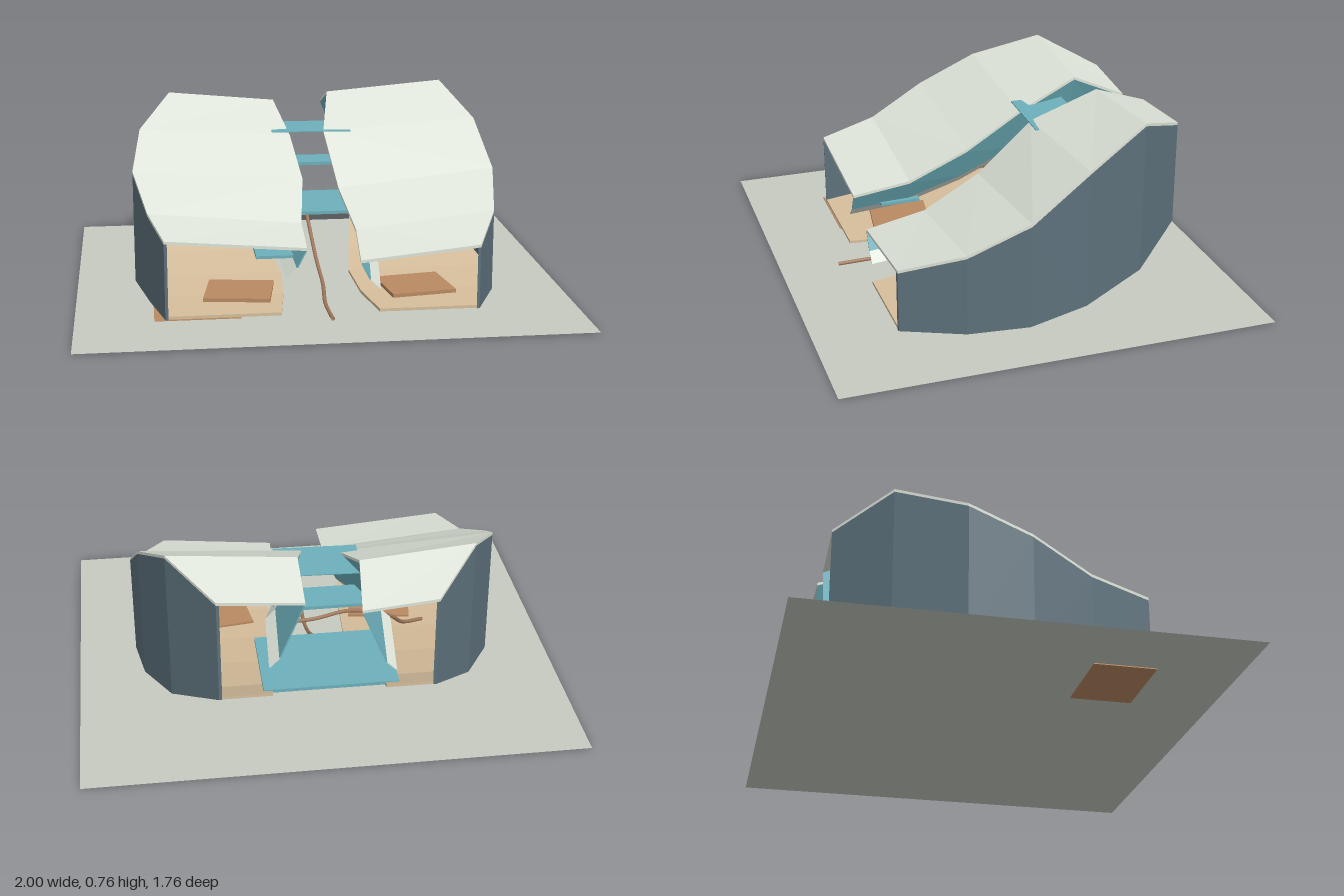
import * as THREE from 'three';

const mat = (name, color) => {
  const m = new THREE.MeshStandardMaterial({ color, side: THREE.DoubleSide });
  m.name = name;
  return m;
};

export function createModel() {
  const roofMat = mat('pale roof', 0xdee4d9);
  const groundMat = mat('ground grey', 0xc6cabf);
  const wallMat = mat('slate wall', 0x5d717c);
  const tealMat = mat('teal panel', 0x6db0bc);
  const floorMat = mat('light wood', 0xd6be9b);
  const woodMat = mat('warm wood', 0xb98a61);
  const pathMat = mat('brown path', 0xa27a5e);

  const model = new THREE.Group();
  const add = (name, geo, material, parent = model) => {
    const mesh = new THREE.Mesh(geo, material);
    mesh.name = name;
    parent.add(mesh);
    return mesh;
  };

  // Thin faceted sheet between two edge polylines, thickened by an offset
  const sheet = (a, b, off) => {
    const shift = (p) => p.map((v, i) => v + off[i]);
    const rings = a.map((p, i) => [p, b[i], shift(b[i]), shift(p)]);
    const pos = [];
    const quad = (p, q, r, s) => pos.push(...p, ...q, ...r, ...p, ...r, ...s);
    for (let i = 0; i + 1 < rings.length; i++) {
      for (let k = 0; k < 4; k++) {
        const n = (k + 1) % 4;
        quad(rings[i][k], rings[i][n], rings[i + 1][n], rings[i + 1][k]);
      }
    }
    quad(...[...rings[0]].reverse());
    quad(...rings[rings.length - 1]);
    const g = new THREE.BufferGeometry();
    g.setAttribute('position', new THREE.Float32BufferAttribute(pos, 3));
    g.computeVertexNormals();
    return g;
  };

  const box = (name, x0, x1, y, z0, z1, h, material) => {
    const m = add(name, new THREE.BoxGeometry(x1 - x0, h, z1 - z0), material);
    m.position.set((x0 + x1) / 2, y, (z0 + z1) / 2);
    return m;
  };

  const tube = (name, pts, r) => {
    const c = new THREE.CatmullRomCurve3(pts.map((p) => new THREE.Vector3(...p)));
    return add(name, new THREE.TubeGeometry(c, 32, r, 8), pathMat);
  };

  // Ground sheet
  const ground = add('ground', new THREE.PlaneGeometry(2, 1.76), groundMat);
  ground.rotation.x = -Math.PI / 2;
  ground.position.y = 0.004;

  // Shared stations from front to back, and the rising floor line
  const Z = [0.545, 0.30, 0.055, -0.19, -0.46, -0.68];
  const base = [0.006, 0.006, 0.02, 0.055, 0.12, 0.225];

  const halves = [
    {
      name: 'leftHalf', s: 1,
      outX: [0.604, 0.712, 0.76, 0.728, 0.626, 0.449],
      outY: [0.27, 0.345, 0.465, 0.633, 0.757, 0.665],
      inX: [0.123, 0.139, 0.10, 0.066, 0.115, 0.112],
      inY: [0.222, 0.28, 0.395, 0.59, 0.714, 0.64],
      floorX: [0.20, 0.16, 0.145, 0.18, 0.22, 0.24],
    },
    {
      name: 'rightHalf', s: -1,
      outX: [-0.647, -0.705, -0.76, -0.725, -0.59, -0.406],
      outY: [0.325, 0.372, 0.49, 0.617, 0.725, 0.617],
      inX: [-0.09, -0.085, -0.053, -0.08, -0.128, -0.107],
      inY: [0.28, 0.315, 0.44, 0.575, 0.682, 0.587],
      floorX: [-0.19, -0.16, -0.145, -0.18, -0.22, -0.21],
    },
  ];
  const drop = [0.08, 0.10, 0.14, 0.19, 0.23, 0.24];

  for (const h of halves) {
    const g = new THREE.Group();
    g.name = h.name;
    model.add(g);
    const line = (xs, ys) => Z.map((z, i) => [xs[i], ys[i], z]);
    const outer = line(h.outX, h.outY);
    const inner = line(h.inX, h.inY);

    // Folded roof and curved outer wall
    add('roof', sheet(outer, inner, [0, -0.012, 0]), roofMat, g);
    add('outerWall', sheet(
      line(h.outX, h.outY.map((y) => y - 0.012)),
      line(h.outX, base), [-0.012 * h.s, 0, 0.002]), wallMat, g);

    // Floor climbing towards the back
    add('floor', sheet(
      line(h.outX.map((x) => x - 0.012 * h.s), base.map((y) => y + 0.014)),
      line(h.floorX, base.map((y) => y + 0.014)), [0, -0.012, 0]), floorMat, g);

    // Glazing leaning in below the roof edge, with a pale folded sill
    const midX = h.inX.map((x, i) => x + h.s * (0.035 + 0.012 * i));
    const midY = h.inY.map((y, i) => y - drop[i]);
    const mid = line(midX, midY);
    add('innerGlazing', sheet(
      line(h.inX, h.inY.map((y) => y - 0.012)), mid, [0.006 * h.s, 0, 0]), tealMat, g);
    add('foldedSill', sheet(mid, line(
      midX.map((x) => x + h.s * 0.04), midY.map((y) => y - 0.04)),
    [0.006 * h.s, 0, 0]), roofMat, g);

    // Raised timber platform
    const p = add('platform', new THREE.BoxGeometry(0.27, 0.015, 0.25), woodMat, g);
    p.position.set(h.s > 0 ? 0.39 : -0.34, 0.03, 0.28);
    p.rotation.y = h.s * 0.15;
  }

  // Footing below the right floor
  box('footing', -0.69, -0.35, 0.003, 0.30, 0.55, 0.006, woodMat);

  // Linking decks, canopy and table
  box('lowerDeck', -0.27, 0.27, 0.21, -0.625, -0.24, 0.014, tealMat);
  box('middleDeck', -0.2, 0.2, 0.435, -0.39, -0.24, 0.014, tealMat);
  box('canopy', -0.155, 0.185, 0.592, -0.4, -0.175, 0.004, tealMat).rotation.y = -0.03;
  box('table', -0.28, -0.11, 0.21, 0.25, 0.42, 0.012, tealMat);

  // Winding path up to the lower deck, and the handrail crossing the gap
  tube('path', [[0, 0.018, 0.64], [-0.005, 0.018, 0.45], [0.015, 0.025, 0.2],
    [0.012, 0.07, 0], [0, 0.2, -0.24]], 0.008);
  tube('handrail', [[-0.46, 0.165, -0.1], [-0.36, 0.22, -0.2], [-0.28, 0.32, -0.3],
    [-0.1, 0.405, -0.38], [0.05, 0.415, -0.44], [0.2, 0.415, -0.45]], 0.008);

  return model;
}
